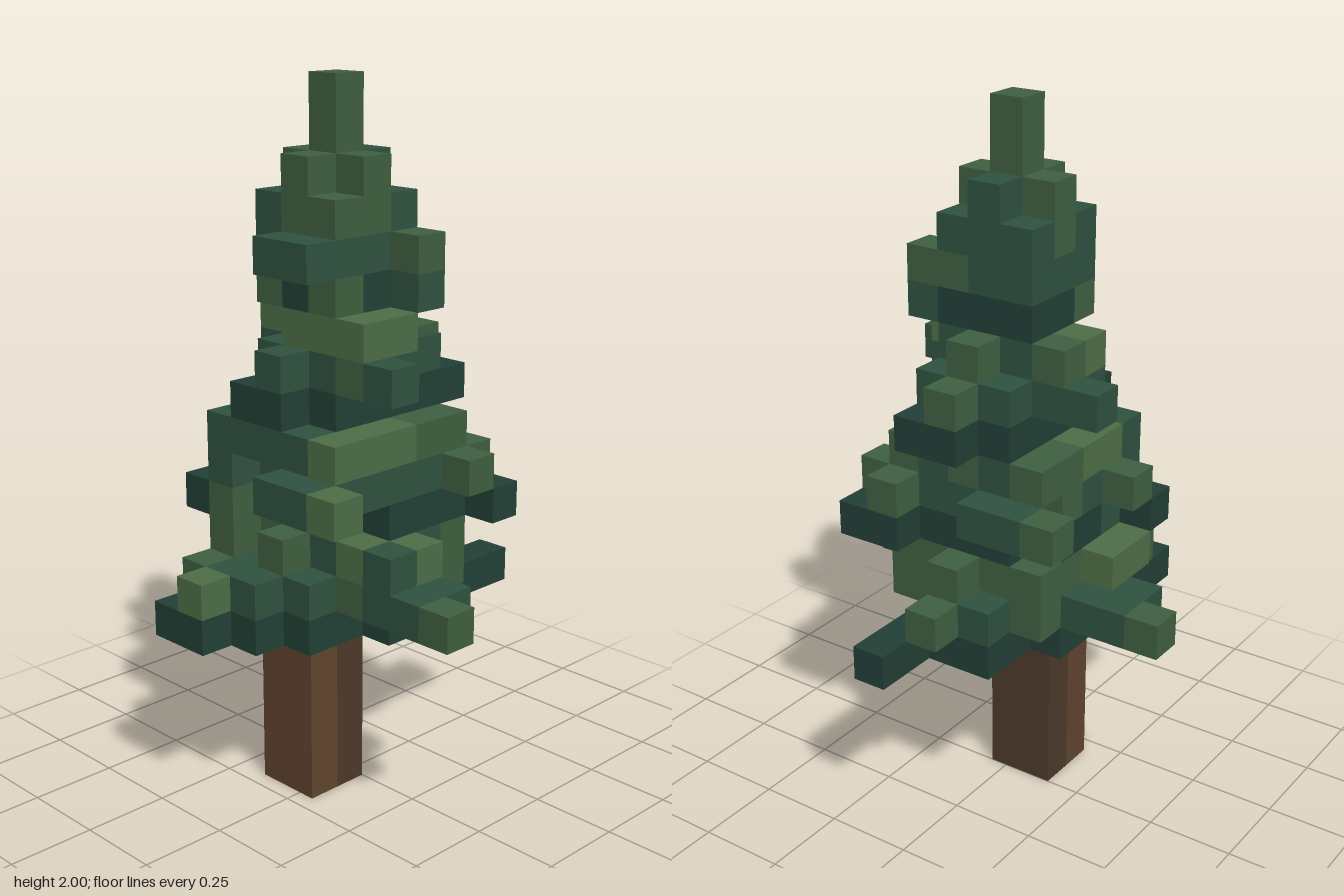
import * as THREE from 'three';
import { mergeGeometries } from 'three/addons/utils/BufferGeometryUtils.js';

const S = 0.1; // cube size
const COLORS = { a: 0x4d6d46, b: 0x3f5f40, c: 0x2f5140, d: 0x223f36, t: 0x60442f, u: 0x4c3a2b };

// Each part: level -> runs of cubes written as "row z, first column x, colours".
const PARTS = {
  trunk: Object.fromEntries([0, 1, 2, 3, 4].map((y) => [y, ['-1,-2,tu', '0,-2,tu']])),
  lowerBranches: {
    5: ['-2,-5,dddddd', '-1,-5,dddddddd', '0,-4,ddddddd', '1,-3,dddddddd', '2,-1,d'],
    6: ['-5,0,b', '-4,-1,cc', '-3,-1,cc', '-2,-4,bcbbcb', '-1,-5,acccbccc', '0,-4,ccbbcccb',
      '1,-3,cbccb', '2,-2,bccb', '3,-2,cb', '4,-2,cc', '5,-2,b'],
    7: ['-3,-2,aa', '-2,-3,bcabb', '-1,-2,bccb', '0,-3,bbccbb', '1,-2,cccb', '2,-2,aacb', '3,-2,ca'],
  },
  middleBranches: {
    8: ['-3,-3,d', '-2,-3,bcdd', '-1,-2,cddd', '0,-2,cddd', '1,-2,cddd', '2,-1,dddd', '3,2,d'],
    9: ['-3,-2,b', '-3,2,b', '-2,-3,cccb', '-2,2,c', '-1,-2,ccccc', '0,-2,cccc', '1,-4,cccccc',
      '2,-4,cccccbb', '3,-4,a', '3,1,b'],
    10: ['-2,-3,caabb', '-1,-3,cbbcc', '0,-3,cbbbb', '1,-3,cbbcc', '2,-3,aaabb'],
  },
  upperBranches: {
    11: ['-1,-3,ddddd', '0,-3,dddddd', '1,-2,ddddd'],
    12: ['-3,0,c', '-2,-1,cc', '-1,-2,cccc', '0,-3,ccccbb', '1,-2,cccc', '2,-2,bc', '3,-2,c'],
    13: ['-2,-1,ab', '-1,-1,bc', '0,-2,aabb', '1,-2,aac', '2,-2,aa'],
  },
  crown: {
    14: ['-1,-2,bdd', '0,-2,ddd', '1,-2,bdd', '2,0,c'],
    15: ['-1,-2,ccc', '0,-3,cccc', '1,-3,cccb', '2,0,b'],
    16: ['-1,-2,cbc', '0,-2,bbc', '1,-2,bbc'],
    17: ['-1,-1,b', '0,-2,bbc', '1,-1,b'],
  },
  tip: { 18: ['0,-1,b'], 19: ['0,-1,b'] },
};

// One square per cube side, with the direction it faces.
const SIDES = [[1, 0, 0], [-1, 0, 0], [0, 1, 0], [0, -1, 0], [0, 0, 1], [0, 0, -1]].map((dir) => {
  const n = new THREE.Vector3(...dir);
  const turn = new THREE.Quaternion().setFromUnitVectors(new THREE.Vector3(0, 0, 1), n);
  const face = new THREE.PlaneGeometry(S, S).applyQuaternion(turn);
  return { dir, face: face.translate(n.x * S / 2, n.y * S / 2, n.z * S / 2) };
});

export function createModel() {
  const model = new THREE.Group();
  model.name = 'voxelConifer';

  // Expand the runs into cubes
  const cubes = [];
  const filled = new Set();
  for (const [part, levels] of Object.entries(PARTS)) {
    for (const [level, runs] of Object.entries(levels)) {
      for (const run of runs) {
        const [z, x0, tones] = run.split(',');
        [...tones].forEach((tone, i) => {
          const cube = { part, tone, x: +x0 + i, y: +level, z: +z };
          cubes.push(cube);
          filled.add(`${cube.x},${cube.y},${cube.z}`);
        });
      }
    }
  }

  // Keep only the exposed sides, one mesh per part and colour
  for (const part of Object.keys(PARTS)) {
    const group = new THREE.Group();
    group.name = part;
    for (const [tone, color] of Object.entries(COLORS)) {
      const faces = [];
      for (const c of cubes.filter((q) => q.part === part && q.tone === tone)) {
        for (const { dir, face } of SIDES) {
          if (filled.has(`${c.x + dir[0]},${c.y + dir[1]},${c.z + dir[2]}`)) continue;
          faces.push(face.clone().translate((c.x + 0.5) * S, (c.y + 0.5) * S, c.z * S));
        }
      }
      if (!faces.length) continue;
      const mesh = new THREE.Mesh(mergeGeometries(faces), new THREE.MeshStandardMaterial({ color }));
      mesh.name = part + 'Cubes';
      group.add(mesh);
    }
    model.add(group);
  }
  return model;
}
